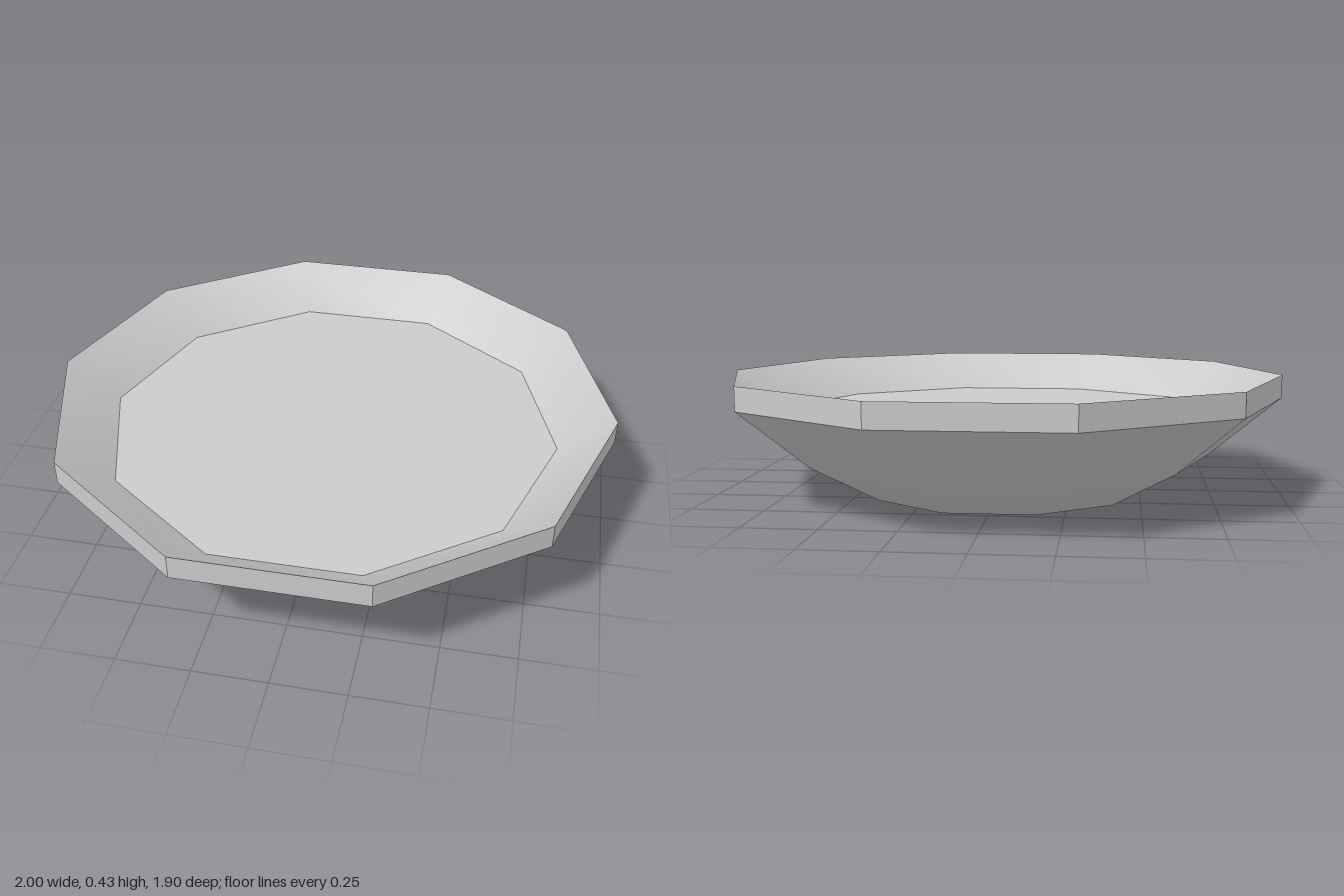
import * as THREE from 'three';
import { toCreasedNormals } from 'three/addons/utils/BufferGeometryUtils.js';

const SIDES = 10;
const CREASE = THREE.MathUtils.degToRad(32);

export function createModel() {
  const model = new THREE.Group();
  model.name = 'dish';
  const material = new THREE.MeshStandardMaterial({ color: 0xcccccc });

  // Turns a [radius, height] profile around y, with corners on the x axis
  const addRing = (name, profile) => {
    const points = profile.map(([r, y]) => new THREE.Vector2(r, y));
    const lathe = new THREE.LatheGeometry(points, SIDES, Math.PI / 2);
    const mesh = new THREE.Mesh(toCreasedNormals(lathe, CREASE), material);
    mesh.name = name;
    model.add(mesh);
  };

  // Flat base and the two sloping bands beneath the rim
  addRing('underside', [[0, 0], [0.5, 0], [0.75, 0.136], [1, 0.342]]);
  // Upright faceted edge
  addRing('rim', [[1, 0.342], [1, 0.425]]);
  // Inner slope, then the flat floor
  addRing('innerWall', [[1, 0.425], [0.81, 0.286]]);
  addRing('floor', [[0.81, 0.286], [0, 0.286]]);

  return model;
}
